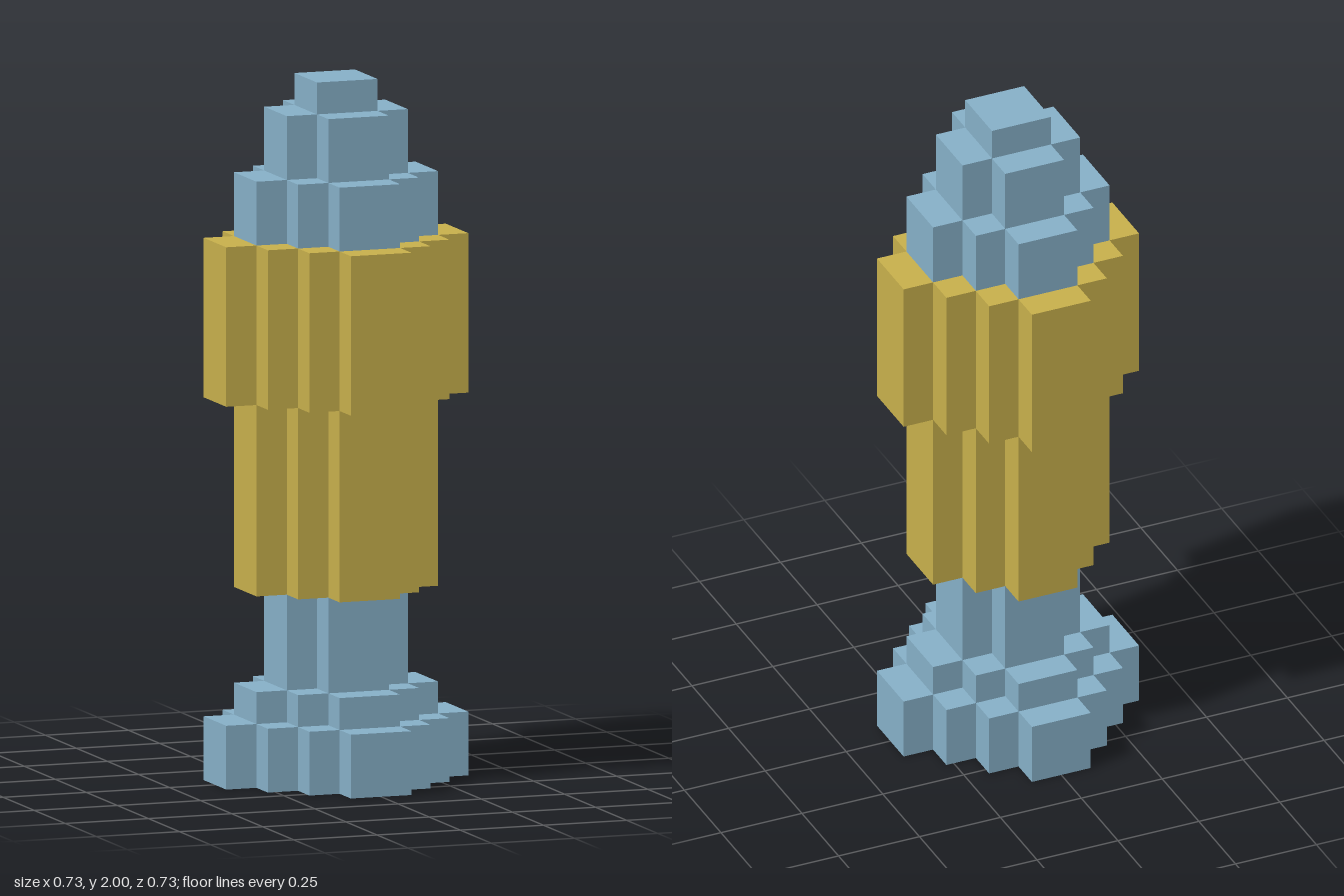
import * as THREE from 'three';

const U = 2 / 22; // one block

// Stepped diamond outline, n blocks from centre to tip
function steppedDiamond(n) {
  const quarter = [];
  for (let i = 0; i < n; i++) quarter.push([n - i, i], [n - i, i + 1]);
  const points = [];
  for (let q = 0; q < 4; q++) {
    for (const [a, b] of quarter) {
      const [x, y] = [[a, b], [-b, a], [-a, -b], [b, -a]][q];
      // skip the point on each axis, it lies mid-edge
      if (b !== 0 && a !== 0) points.push(new THREE.Vector2(x * U, y * U));
    }
    // inner corner points are added between steps below
  }
  // insert the inner corners so every edge is axis-aligned
  const outline = [];
  points.forEach((p, i) => {
    const next = points[(i + 1) % points.length];
    outline.push(p);
    if (Math.abs(p.x - next.x) > 1e-6 && Math.abs(p.y - next.y) > 1e-6) {
      outline.push(Math.abs(p.x) < Math.abs(next.x)
        ? new THREE.Vector2(p.x, next.y) : new THREE.Vector2(next.x, p.y));
    }
  });
  return new THREE.Shape(outline);
}

// Keeps each corner at the smaller reach of its two neighbours
function tier(name, n, from, to, material) {
  const geometry = new THREE.ExtrudeGeometry(steppedDiamond(n), {
    depth: (to - from) * U, bevelEnabled: false,
  });
  geometry.rotateX(-Math.PI / 2);
  geometry.translate(0, from * U, 0);
  const mesh = new THREE.Mesh(geometry, material);
  mesh.name = name;
  return mesh;
}

export function createModel() {
  const blue = new THREE.MeshStandardMaterial({ color: 0x86b0c8 });
  blue.name = 'pale blue';
  const gold = new THREE.MeshStandardMaterial({ color: 0xc8b04c });
  gold.name = 'gold';

  const model = new THREE.Group();
  model.name = 'blockRocket';

  // Solid tiers: name, reach, bottom and top in blocks
  [
    ['nozzleFlare', 4, 1, 2, blue],
    ['nozzleCollar', 3, 2, 3, blue],
    ['neck', 2, 3, 6, blue],
    ['lowerBody', 3, 6, 12, gold],
    ['upperBody', 4, 12, 17, gold],
    ['noseBase', 3, 17, 19, blue],
    ['noseMiddle', 2, 19, 21, blue],
    ['noseTip', 1, 21, 22, blue],
  ].forEach((t) => model.add(tier(...t)));

  // Open rim under the nozzle, one block thick
  const rim = new THREE.Group();
  rim.name = 'nozzleRim';
  const addBlock = (x, z, w, d) => {
    const block = new THREE.Mesh(new THREE.BoxGeometry(w * U, U, d * U), blue);
    block.name = 'rimBlock';
    block.position.set(x * U, U / 2, z * U);
    rim.add(block);
  };
  for (const s of [-1, 1]) {
    addBlock(3.5 * s, 0, 1, 2);
    addBlock(0, 3.5 * s, 2, 1);
    for (const t of [-1, 1]) {
      addBlock(2.5 * s, 1.5 * t, 1, 1);
      addBlock(1.5 * s, 2.5 * t, 1, 1);
    }
  }
  model.add(rim);
  return model;
}
